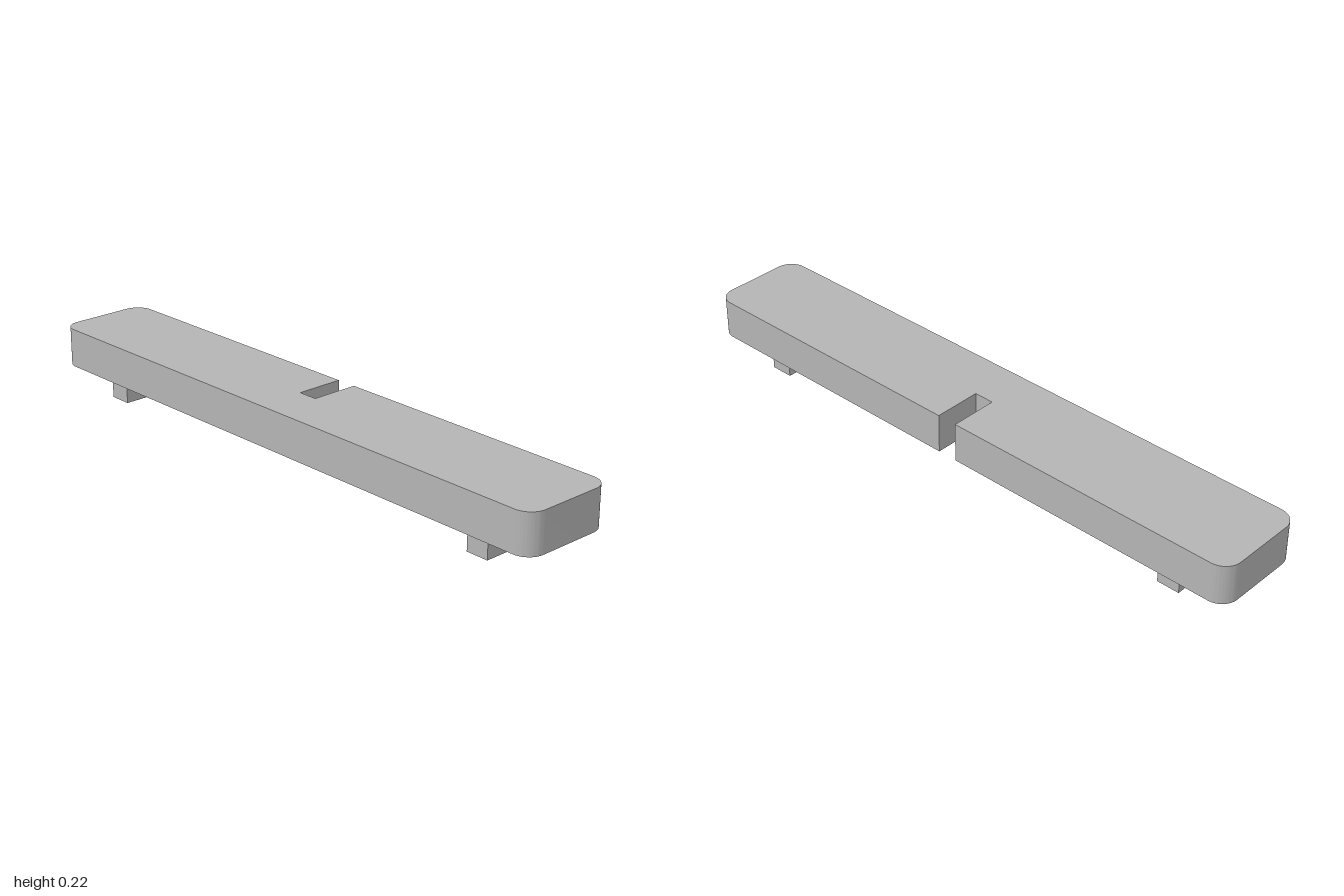
import * as THREE from 'three';
import { toCreasedNormals } from 'three/addons/utils/BufferGeometryUtils.js';

const HALF_LENGTH = 1.083, HALF_WIDTH = 0.168, RADIUS = 0.06;
const LEG_HEIGHT = 0.088, BAR_HEIGHT = 0.137, NOTCH = 0.035;

// Rounded bar outline with a slot cut from the back edge to the middle
function barShape() {
  const l = HALF_LENGTH - RADIUS, w = HALF_WIDTH - RADIUS;
  const s = new THREE.Shape();
  s.moveTo(NOTCH, 0);
  s.lineTo(-NOTCH, 0);
  s.lineTo(-NOTCH, HALF_WIDTH);
  s.absarc(-l, w, RADIUS, Math.PI / 2, Math.PI, false);
  s.absarc(-l, -w, RADIUS, Math.PI, Math.PI * 1.5, false);
  s.absarc(l, -w, RADIUS, Math.PI * 1.5, Math.PI * 2, false);
  s.absarc(l, w, RADIUS, 0, Math.PI / 2, false);
  s.lineTo(NOTCH, HALF_WIDTH);
  s.closePath();
  return s;
}

export function createModel() {
  const grey = new THREE.MeshStandardMaterial({ color: 0xb4b4b4 });
  grey.name = 'grey';
  const model = new THREE.Group();
  model.name = 'notchedBar';

  // Bar
  const geometry = new THREE.ExtrudeGeometry(barShape(), {
    depth: BAR_HEIGHT, bevelEnabled: false, curveSegments: 12,
  });
  geometry.rotateX(-Math.PI / 2);
  const bar = new THREE.Mesh(toCreasedNormals(geometry, Math.PI / 6), grey);
  bar.name = 'bar';
  bar.position.y = LEG_HEIGHT;
  model.add(bar);

  // Crosswise feet near both ends
  for (const side of [-1, 1]) {
    const foot = new THREE.Mesh(new THREE.BoxGeometry(0.08, LEG_HEIGHT, 0.225), grey);
    foot.name = side > 0 ? 'leftFoot' : 'rightFoot';
    foot.position.set(side * 0.842, LEG_HEIGHT / 2, 0);
    model.add(foot);
  }

  // The whole piece lies turned on the ground
  model.rotation.y = -Math.PI / 6;
  return model;
}
